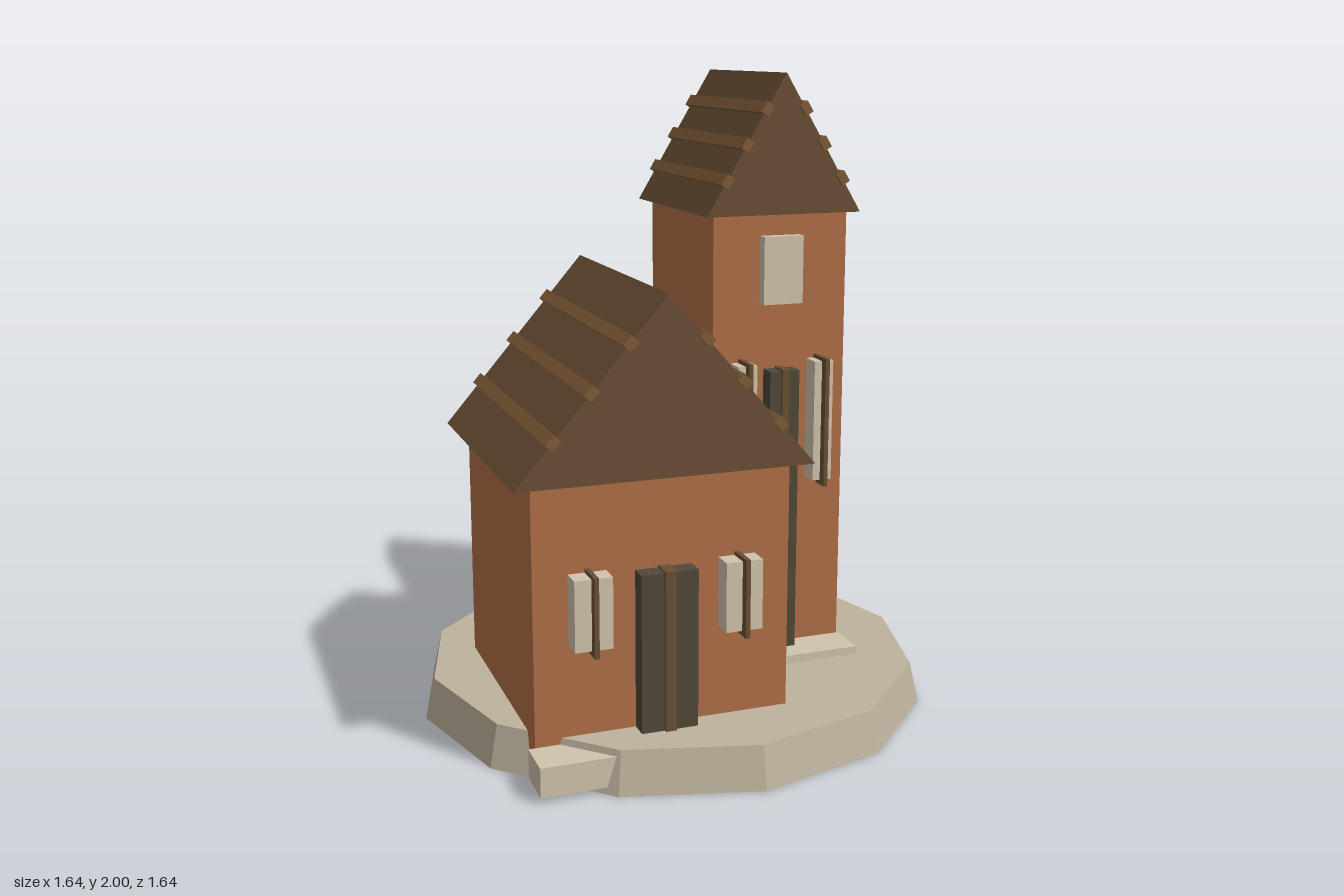
import * as THREE from 'three';

const mat = (color) => new THREE.MeshStandardMaterial({ color, flatShading: true });
const stone = mat(0xbdb29c), brick = mat(0xb06e46), roofing = mat(0x6a4e34);
const timber = mat(0x805c38), pane = mat(0xcfc3ab), doorWood = mat(0x504838);

// Box given by its limits on each axis
function block(parent, name, material, [x0, x1], [y0, y1], [z0, z1]) {
  const mesh = new THREE.Mesh(new THREE.BoxGeometry(x1 - x0, y1 - y0, z1 - z0), material);
  mesh.position.set((x0 + x1) / 2, (y0 + y1) / 2, (z0 + z1) / 2);
  mesh.name = name;
  parent.add(mesh);
  return mesh;
}

// Gabled roof with three battens on each slope
function gableRoof(parent, name, cx, half, y0, y1, z0, z1) {
  const roof = new THREE.Group();
  roof.name = name;
  const shape = new THREE.Shape([
    new THREE.Vector2(cx - half, y0), new THREE.Vector2(cx + half, y0), new THREE.Vector2(cx, y1),
  ]);
  const gable = new THREE.Mesh(
    new THREE.ExtrudeGeometry(shape, { depth: z1 - z0, bevelEnabled: false }), roofing);
  gable.position.z = z0;
  gable.name = 'gable';
  roof.add(gable);
  const slope = Math.atan2(y1 - y0, half);
  for (const side of [-1, 1]) {
    for (const t of [0.25, 0.5, 0.75]) {
      const batten = block(roof, 'batten', timber, [-0.019, 0.019], [-0.014, 0.014], [z0 - 0.01, z1 + 0.01]);
      batten.position.x = cx + side * half * t;
      batten.position.y = y1 - (y1 - y0) * t;
      batten.rotation.z = -side * slope;
    }
  }
  parent.add(roof);
}

// Window panel with a projecting centre bar
function barredWindow(parent, cx, half, y0, y1, z) {
  const win = new THREE.Group();
  win.name = 'window';
  block(win, 'pane', pane, [cx - half, cx + half], [y0, y1], [z - 0.01, z + 0.065]);
  block(win, 'centreBar', roofing, [cx - 0.007, cx + 0.007], [y0 - 0.015, y1 + 0.012], [z, z + 0.093]);
  parent.add(win);
}

// Door slab with a centre plank
function plankDoor(parent, cx, half, plank, y0, y1, z) {
  const door = new THREE.Group();
  door.name = 'door';
  block(door, 'slab', doorWood, [cx - half, cx + half], [y0, y1], [z - 0.01, z + 0.056]);
  block(door, 'centrePlank', roofing, [cx - plank, cx + plank], [y0, y1 + 0.006], [z, z + 0.066]);
  parent.add(door);
}

export function createModel() {
  const model = new THREE.Group();
  model.name = 'houseWithTower';

  // Twelve-sided plinth
  const base = new THREE.Mesh(new THREE.CylinderGeometry(0.79, 0.82, 0.13, 12), stone);
  base.position.y = 0.065;
  base.name = 'base';
  model.add(base);

  // House
  const house = new THREE.Group();
  house.name = 'house';
  block(house, 'walls', brick, [-0.61, 0.175], [0, 0.9], [-0.215, 0.55]);
  gableRoof(house, 'houseRoof', -0.216, 0.453, 0.89, 1.415, -0.26, 0.595);
  plankDoor(house, -0.217, 0.087, 0.017, 0.12, 0.613, 0.55);
  for (const x of [-0.448, 0.01]) barredWindow(house, x, 0.057, 0.41, 0.623, 0.55);
  block(house, 'step', pane, [-0.63, 0.195], [0.02, 0.11], [0.55, 0.68]);
  model.add(house);

  // Tower
  const tower = new THREE.Group();
  tower.name = 'tower';
  block(tower, 'walls', brick, [0.094, 0.545], [0, 1.58], [-0.43, 0.135]);
  gableRoof(tower, 'towerRoof', 0.317, 0.258, 1.57, 2.0, -0.47, 0.17);
  plankDoor(tower, 0.317, 0.05, 0.012, 0.13, 1.08, 0.135);
  for (const x of [0.187, 0.448]) barredWindow(tower, x, 0.032, 0.715, 1.105, 0.135);
  block(tower, 'upperWindow', pane, [0.25, 0.382], [1.29, 1.503], [0.12, 0.172]);
  block(tower, 'step', pane, [0.082, 0.553], [0.065, 0.156], [0.13, 0.268]);
  model.add(tower);

  return model;
}
